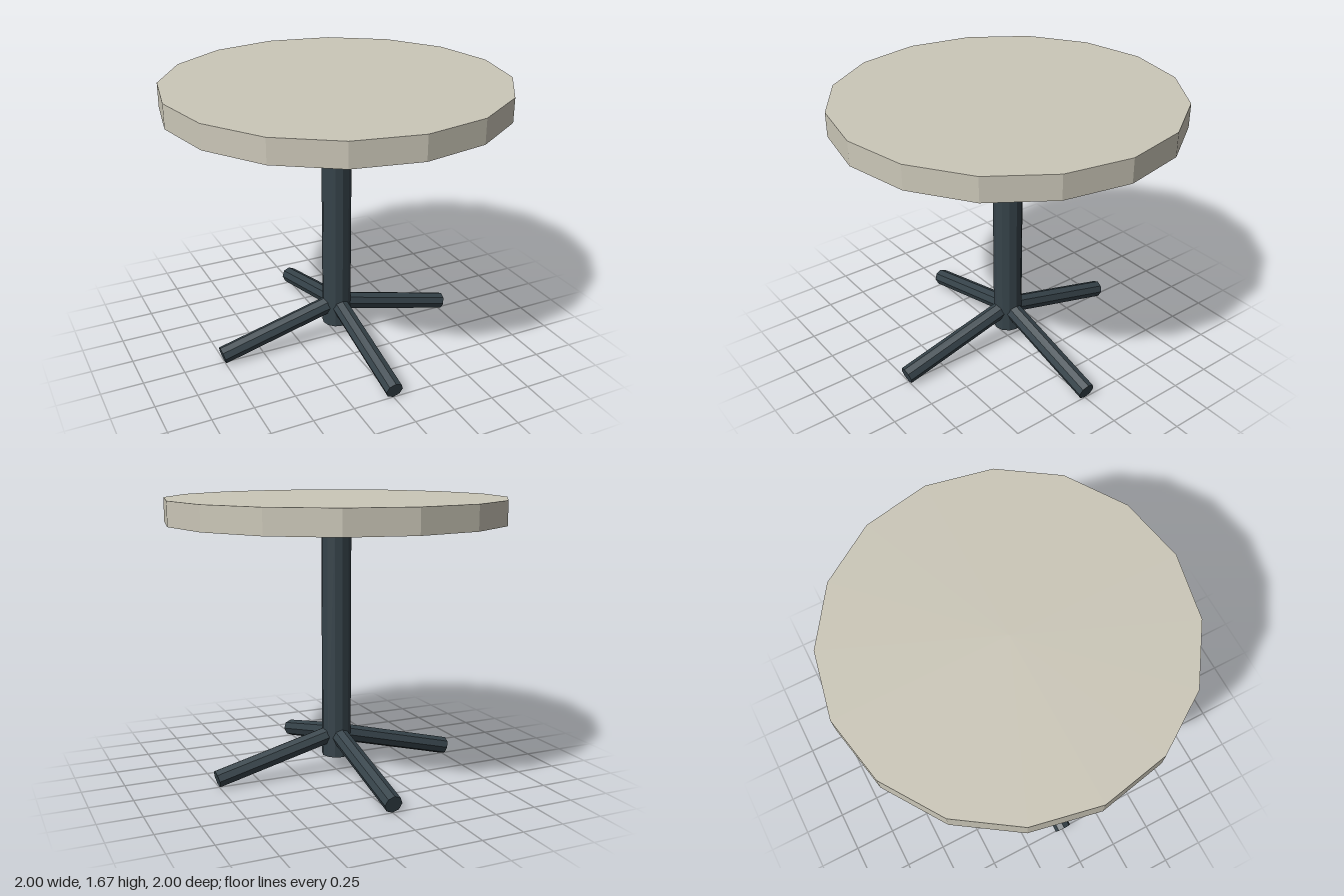
import * as THREE from 'three';

export function createModel() {
  const model = new THREE.Group();
  model.name = 'pedestalTable';

  const stone = new THREE.MeshStandardMaterial({ color: 0xcbc7b8, flatShading: true });
  stone.name = 'pale stone';
  const iron = new THREE.MeshStandardMaterial({ color: 0x36434a, flatShading: true });
  iron.name = 'dark iron';

  const cylinder = (name, radius, height, sides, material) => {
    const mesh = new THREE.Mesh(new THREE.CylinderGeometry(radius, radius, height, sides), material);
    mesh.name = name;
    return mesh;
  };

  // Sixteen-sided table top
  const top = cylinder('tableTop', 1, 0.14, 16, stone);
  top.position.y = 1.6;
  model.add(top);

  // Central column
  const column = cylinder('column', 0.088, 1.42, 12, iron);
  column.position.y = 0.82;
  model.add(column);

  // Four splayed feet, each running from inside the column down to the floor
  const inner = new THREE.Vector3(0.02, 0.245, 0);
  const outer = new THREE.Vector3(0.761, 0.056, 0);
  const slope = Math.atan2(outer.y - inner.y, outer.x - inner.x);
  ['leftFoot', 'backFoot', 'rightFoot', 'frontFoot'].forEach((name, i) => {
    const foot = new THREE.Group();
    foot.name = name;
    const bar = cylinder(name + 'Bar', 0.053, inner.distanceTo(outer), 8, iron);
    bar.position.copy(inner).add(outer).multiplyScalar(0.5);
    bar.rotation.z = slope - Math.PI / 2;
    foot.add(bar);
    foot.rotation.y = (i * Math.PI) / 2;
    model.add(foot);
  });

  return model;
}
